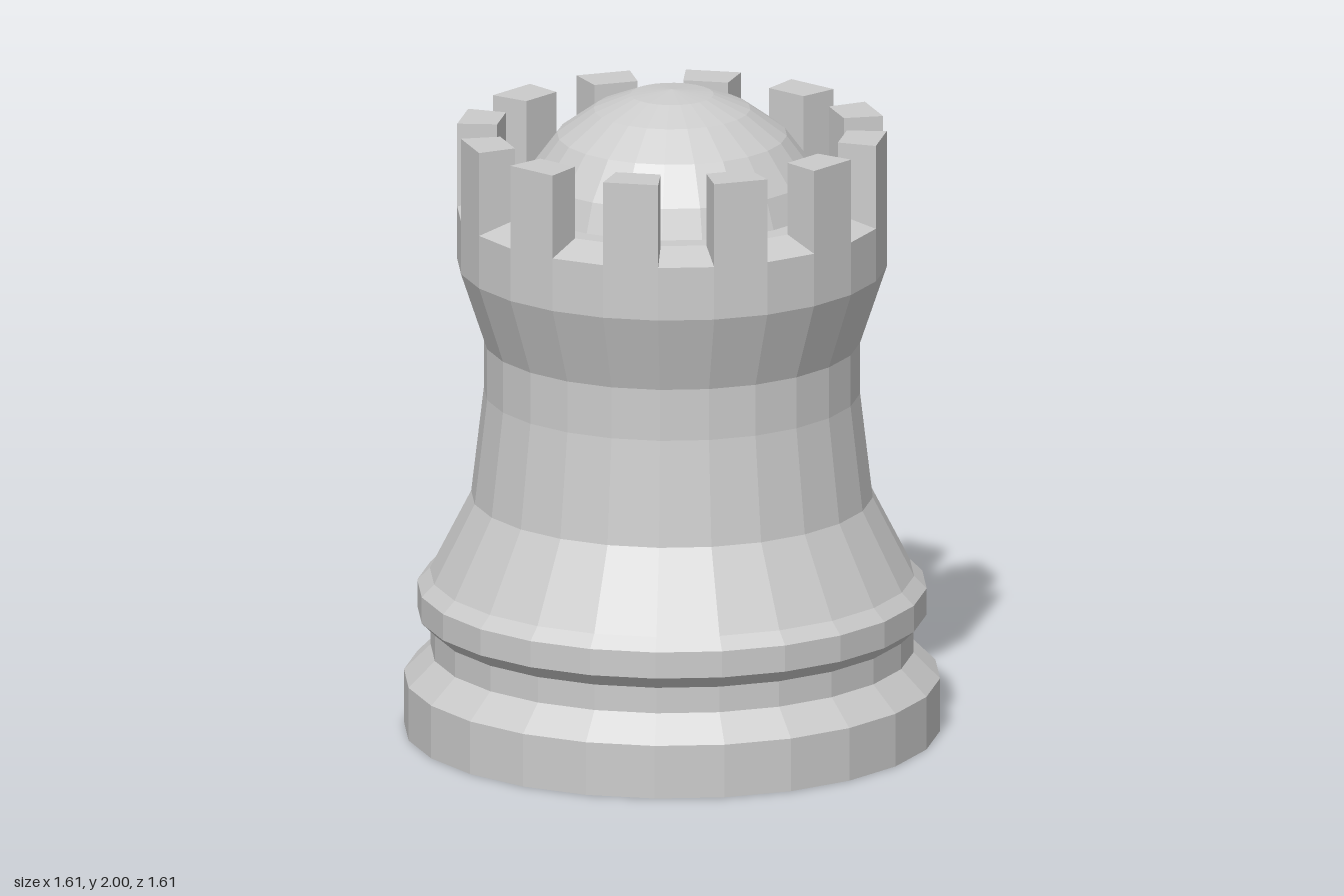
import * as THREE from 'three';

const SIDES = 24;
const HALF = Math.PI / SIDES; // half of one facet's angle

// Turned solid whose flat facets face the axes; radii are measured to the facet middles
function turned(name, profile, material) {
  const points = profile.map(([r, y]) => new THREE.Vector2(r / Math.cos(HALF), y));
  const mesh = new THREE.Mesh(new THREE.LatheGeometry(points, SIDES, HALF), material);
  mesh.name = name;
  return mesh;
}

export function createModel() {
  const group = new THREE.Group();
  group.name = 'rook';
  const material = new THREE.MeshStandardMaterial({ color: 0xcccccc, flatShading: true });

  // Base, collar, waist and flared head with a sloping rim
  group.add(turned('body', [
    [0, 0], [0.805, 0], [0.805, 0.165], [0.725, 0.245], [0.725, 0.325],
    [0.765, 0.365], [0.765, 0.447], [0.727, 0.485], [0.603, 0.73],
    [0.565, 1.055], [0.565, 1.215], [0.645, 1.455], [0.645, 1.62],
    [0.525, 1.655], [0.44, 1.655],
  ], material));

  // Dome inside the battlements
  group.add(turned('dome', [
    [0.463, 1.65], [0.43, 1.745], [0.345, 1.86], [0.235, 1.94], [0.125, 1.985], [0, 2],
  ], material));

  // Battlements: a wedge block on every second facet
  const outer = 0.645, inner = 0.525, t = Math.tan(HALF);
  const wedge = new THREE.Shape([
    new THREE.Vector2(-outer * t, -outer),
    new THREE.Vector2(outer * t, -outer),
    new THREE.Vector2(inner * t, -inner),
    new THREE.Vector2(-inner * t, -inner),
  ]);
  const block = new THREE.ExtrudeGeometry(wedge, { depth: 0.26, bevelEnabled: false });
  block.rotateX(-Math.PI / 2);
  const battlements = new THREE.Group();
  battlements.name = 'battlements';
  for (let i = 0; i < SIDES / 2; i++) {
    const merlon = new THREE.Mesh(block, material);
    merlon.name = 'merlon';
    merlon.position.y = 1.62;
    merlon.rotation.y = i * 4 * HALF;
    battlements.add(merlon);
  }
  group.add(battlements);
  return group;
}
